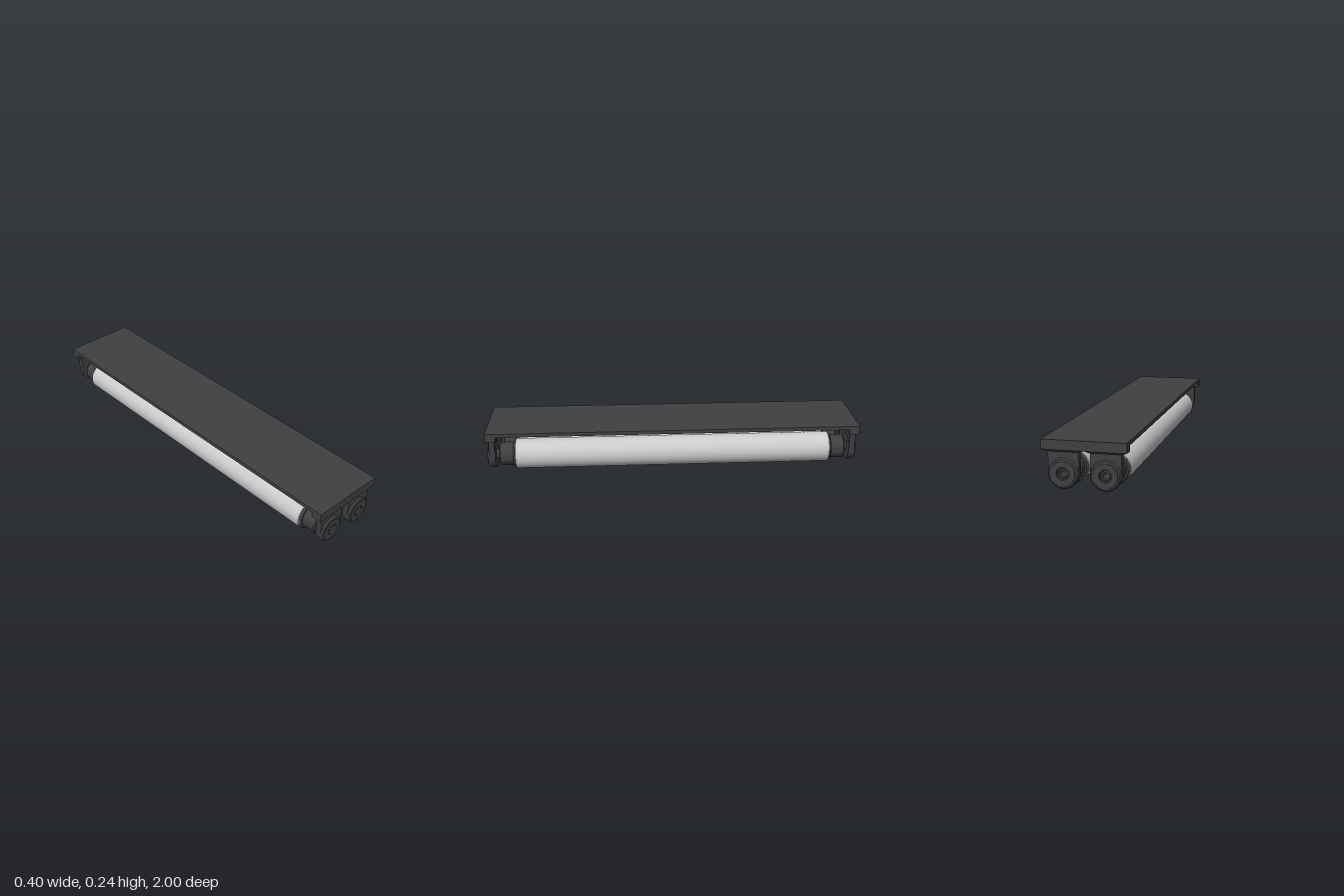
import * as THREE from 'three';
import { toCreasedNormals } from 'three/addons/utils/BufferGeometryUtils.js';

const dark = new THREE.MeshStandardMaterial({ color: 0x404040 });
const steel = new THREE.MeshStandardMaterial({ color: 0xcccccc });
const AXIS_Y = 0.083, ROLLER_X = 0.0985, HOLE = 0.0145;

function part(name, geometry, material, parent, x = 0, y = 0, z = 0) {
  const mesh = new THREE.Mesh(geometry, material);
  mesh.name = name;
  mesh.position.set(x, y, z);
  parent.add(mesh);
  return mesh;
}

// Closed ring profile of [radius, z] points turned about the z axis
function turned(profile, sides = 40) {
  const points = [...profile, profile[0]].map(([r, z]) => new THREE.Vector2(r, z));
  const geometry = new THREE.LatheGeometry(points, sides).rotateX(Math.PI / 2);
  return toCreasedNormals(geometry, 0.45);
}

// Box whose bottom face is shrunk to make a tapered foot
function taperedFoot(width, height, depth, bottomWidth, bottomDepth) {
  const geometry = new THREE.BoxGeometry(width, height, depth);
  const p = geometry.attributes.position;
  for (let i = 0; i < p.count; i++) {
    if (p.getY(i) < 0) {
      p.setX(i, Math.sign(p.getX(i)) * bottomWidth / 2);
      p.setZ(i, Math.sign(p.getZ(i)) * bottomDepth / 2);
    }
  }
  const flat = geometry.toNonIndexed();
  flat.computeVertexNormals();
  return flat;
}

// Bracket arm with a round lower end and a bearing hole
function armGeometry() {
  const r = 0.0725, top = 0.103;
  const shape = new THREE.Shape();
  shape.moveTo(-r, top);
  shape.lineTo(-r, 0);
  shape.absarc(0, 0, r, Math.PI, Math.PI * 2, false);
  shape.lineTo(r, top);
  shape.closePath();
  const hole = new THREE.Path();
  hole.absarc(0, 0, 0.03, 0, Math.PI * 2, true);
  shape.holes.push(hole);
  const geometry = new THREE.ExtrudeGeometry(shape, { depth: 0.03, bevelEnabled: false, curveSegments: 24 });
  return toCreasedNormals(geometry, 0.45);
}

export function createModel() {
  const model = new THREE.Group();
  model.name = 'twinRollerUnit';

  // Top plate
  part('topPlate', new THREE.BoxGeometry(0.398, 0.02, 2), dark, model, 0, 0.228, 0);

  const arm = armGeometry();
  const foot = taperedFoot(0.199, 0.01, 0.055, 0.147, 0.032);
  // Bearing boss with a stepped recess around the bore
  const boss = turned([
    [0.0725, 0.956], [0.0725, 0.986], [0.066, 0.996], [0.058, 0.998], [0.057, 1],
    [0.030, 1], [0.028, 0.993], [0.024, 0.993], [0.022, 0.985],
    [HOLE, 0.985], [HOLE, 0.956],
  ]);
  // Roller end cap with a flared collar against the tube
  const cap = turned([
    [0.079, 0.848], [0.079, 0.852], [0.071, 0.862], [0.063, 0.862],
    [0.063, 0.932], [0.058, 0.938], [HOLE, 0.938], [HOLE, 0.848],
  ]);

  // Both ends are alike: build one and turn it round for the other
  for (const [name, angle] of [['frontEnd', 0], ['backEnd', Math.PI]]) {
    const end = new THREE.Group();
    end.name = name;
    end.rotation.y = angle;
    part('endLip', new THREE.BoxGeometry(0.398, 0.026, 0.055), dark, end, 0, 0.205, 0.9725);
    for (const side of [-1, 1]) {
      const x = side * ROLLER_X;
      part('bracketFoot', foot, dark, end, x, 0.187, 0.9725);
      part('bracketArm', arm, dark, end, x, AXIS_Y, 0.957);
      part('bearingBoss', boss, dark, end, x, AXIS_Y, 0);
      part('rollerEndCap', cap, dark, end, x, AXIS_Y, 0);
    }
    model.add(end);
  }

  // Rollers with hollow axles
  const tube = turned([
    [0.081, -0.848], [0.081, 0.848], [0.077, 0.853], [0.07, 0.853],
    [0.07, -0.853], [0.077, -0.853],
  ], 48);
  const axle = turned([[0.027, -0.96], [0.027, 0.96], [HOLE, 0.96], [HOLE, -0.96]], 32);
  for (const side of [-1, 1]) {
    part('rollerTube', tube, steel, model, side * ROLLER_X, AXIS_Y, 0);
    part('hollowAxle', axle, dark, model, side * ROLLER_X, AXIS_Y, 0);
  }
  return model;
}
